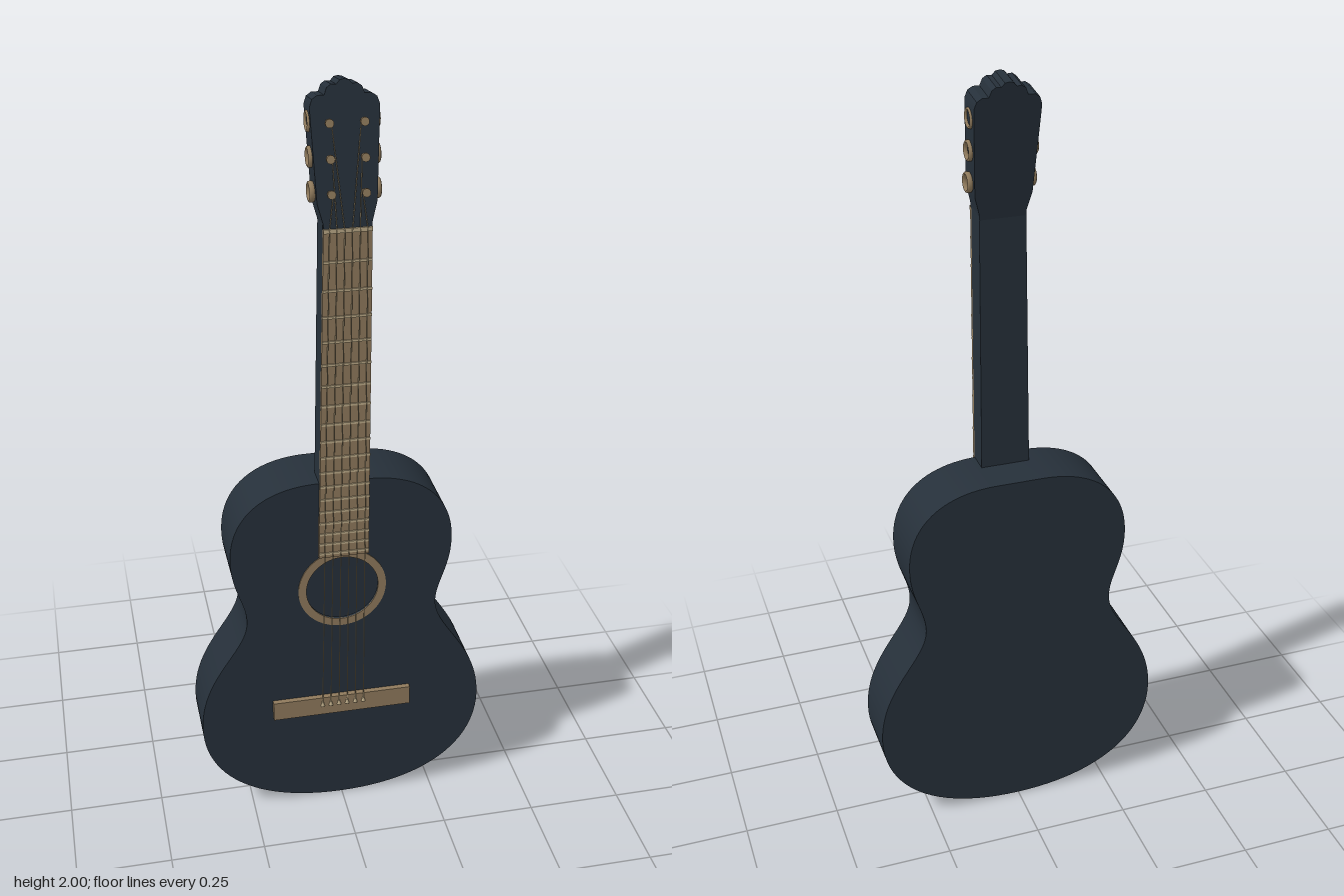
import * as THREE from 'three';
import { toCreasedNormals } from 'three/addons/utils/BufferGeometryUtils.js';

const dark = new THREE.MeshStandardMaterial({ color: 0x26303a });
const wood = new THREE.MeshStandardMaterial({ color: 0x8f7a5c });
const pale = new THREE.MeshStandardMaterial({ color: 0xbcab88 });

function add(parent, name, geometry, material, x = 0, y = 0, z = 0) {
  const mesh = new THREE.Mesh(geometry, material);
  mesh.name = name;
  mesh.position.set(x, y, z);
  parent.add(mesh);
  return mesh;
}

const extrude = (shape, depth, curveSegments = 40) =>
  toCreasedNormals(new THREE.ExtrudeGeometry(shape, { depth, bevelEnabled: false, curveSegments }), 0.5);

const polygon = (pts) => new THREE.Shape(pts.map(([x, y]) => new THREE.Vector2(x, y)));

const circle = (y, r) => new THREE.Path().absarc(0, y, r, 0, Math.PI * 2, true);

// Thin round rod between two points
function rod(parent, name, a, b, r, material) {
  const dir = b.clone().sub(a);
  const mesh = add(parent, name, new THREE.CylinderGeometry(r, r, dir.length(), 6), material);
  mesh.position.copy(a).add(b).multiplyScalar(0.5);
  mesh.quaternion.setFromUnitVectors(new THREE.Vector3(0, 1, 0), dir.normalize());
}

// Figure-of-eight body outline: one side from curves, the other mirrored
function bodyPoints() {
  const half = new THREE.Path();
  half.moveTo(0, 0);
  half.bezierCurveTo(0.25, 0, 0.381, 0.12, 0.381, 0.28);
  half.bezierCurveTo(0.381, 0.45, 0.252, 0.52, 0.252, 0.61);
  half.bezierCurveTo(0.252, 0.67, 0.29, 0.71, 0.29, 0.8);
  half.bezierCurveTo(0.29, 0.93, 0.2, 1.003, 0.06, 1.003);
  const right = half.getPoints(24);
  const left = right.slice(1).reverse().map((p) => new THREE.Vector2(-p.x, p.y));
  return [...right, ...left];
}

export function createModel() {
  const model = new THREE.Group();
  model.name = 'guitar';
  const holeY = 0.685;

  // Hollow body: back plate, rim and soundboard with a round hole
  const body = new THREE.Group();
  body.name = 'body';
  model.add(body);
  const outline = bodyPoints();
  const rim = new THREE.Shape(outline);
  rim.holes.push(new THREE.Path(outline.map((p) => new THREE.Vector2(p.x * 0.97, 0.5 + (p.y - 0.5) * 0.97))));
  const board = new THREE.Shape(outline);
  board.holes.push(circle(holeY, 0.096));
  add(body, 'backPlate', extrude(new THREE.Shape(outline), 0.008), dark, 0, 0, -0.087);
  add(body, 'rim', extrude(rim, 0.143), dark, 0, 0, -0.079);
  add(body, 'soundboard', extrude(board, 0.008), dark, 0, 0, 0.064);

  // Rosette around the hole
  const rosette = new THREE.Shape().absarc(0, holeY, 0.116, 0, Math.PI * 2, false);
  rosette.holes.push(circle(holeY, 0.095));
  add(model, 'rosette', extrude(rosette, 0.003), wood, 0, 0, 0.072);

  // Bridge
  add(model, 'bridge', new THREE.BoxGeometry(0.375, 0.055, 0.015), wood, -0.002, 0.318, 0.079);

  // Neck and fingerboard taper slightly towards the nut
  const leftEdge = (y) => -0.063 + (0.015 * (y - 0.79)) / 0.88;
  const rightEdge = 0.067;
  const taper = (y0, y1) => polygon([[leftEdge(y0), y0], [rightEdge, y0], [rightEdge, y1], [leftEdge(y1), y1]]);
  add(model, 'neck', extrude(taper(0.98, 1.685), 0.062), dark, 0, 0, 0.013);
  add(model, 'fingerboard', extrude(taper(0.79, 1.67), 0.011), wood, 0, 0, 0.073);

  // Frets, each a twelfth of an octave apart
  for (let n = 0; n <= 18; n++) {
    const y = 1.667 - 1.337 * (1 - 2 ** (-n / 12));
    const width = rightEdge - leftEdge(y);
    add(model, n ? 'fret' : 'nut', new THREE.BoxGeometry(width, n ? 0.006 : 0.01, 0.004), pale,
      (rightEdge + leftEdge(y)) / 2, y, 0.085);
  }

  // Headstock leaning back, with a scalloped crest
  const head = new THREE.Group();
  head.name = 'headstock';
  head.position.set(0.01, 1.67, 0.082);
  head.rotation.x = -0.145;
  model.add(head);
  const side = [[0.056, 0], [0.058, 0.015], [0.07, 0.06], [0.079, 0.25], [0.08, 0.275], [0.074, 0.292],
    [0.062, 0.3], [0.046, 0.3], [0.04, 0.316], [0.03, 0.323], [0.018, 0.322], [0.01, 0.331]];
  const crest = [...side, [0, 0.333], ...side.slice().reverse().map(([x, y]) => [-x, y])];
  add(head, 'headPlate', extrude(polygon(crest), 0.07), dark, 0, 0, -0.07);

  // Tuners: a post on the face and a ring-shaped knob on the side
  for (const s of [-1, 1]) {
    for (let i = 0; i < 3; i++) {
      const y = 0.083 + i * 0.079;
      const post = add(head, 'tuningPost', new THREE.CylinderGeometry(0.006, 0.006, 0.024, 12), wood, s * 0.04, y, 0.011);
      post.rotation.x = Math.PI / 2;
      const cap = add(head, 'postCap', new THREE.CylinderGeometry(0.01, 0.01, 0.008, 12), wood, s * 0.04, y, 0.021);
      cap.rotation.x = Math.PI / 2;
      const knob = add(head, 'tuningKnob', new THREE.TorusGeometry(0.021, 0.004, 8, 24), wood, s * 0.077, y, -0.035);
      knob.rotation.y = Math.PI / 2;
      knob.scale.z = 1.8;
    }
  }

  // Six strings from bridge over the nut to the posts
  head.updateMatrix();
  for (let i = 0; i < 6; i++) {
    const t = i / 2.5 - 1;
    const s = Math.sign(t);
    const row = i < 3 ? i : 5 - i;
    const foot = new THREE.Vector3(t * 0.056, 0.33, 0.0875);
    const nut = new THREE.Vector3(0.01 + t * 0.045, 1.667, 0.0885);
    const post = new THREE.Vector3(s * 0.034, 0.083 + row * 0.079, 0.012).applyMatrix4(head.matrix);
    rod(model, 'string', foot, nut, 0.0013, pale);
    rod(model, 'stringEnd', nut, post, 0.0013, pale);
    // Knot where the string ties on to the bridge
    add(model, 'stringKnot', new THREE.ConeGeometry(0.006, 0.022, 8), pale, foot.x, 0.33, 0.086);
  }
  return model;
}
